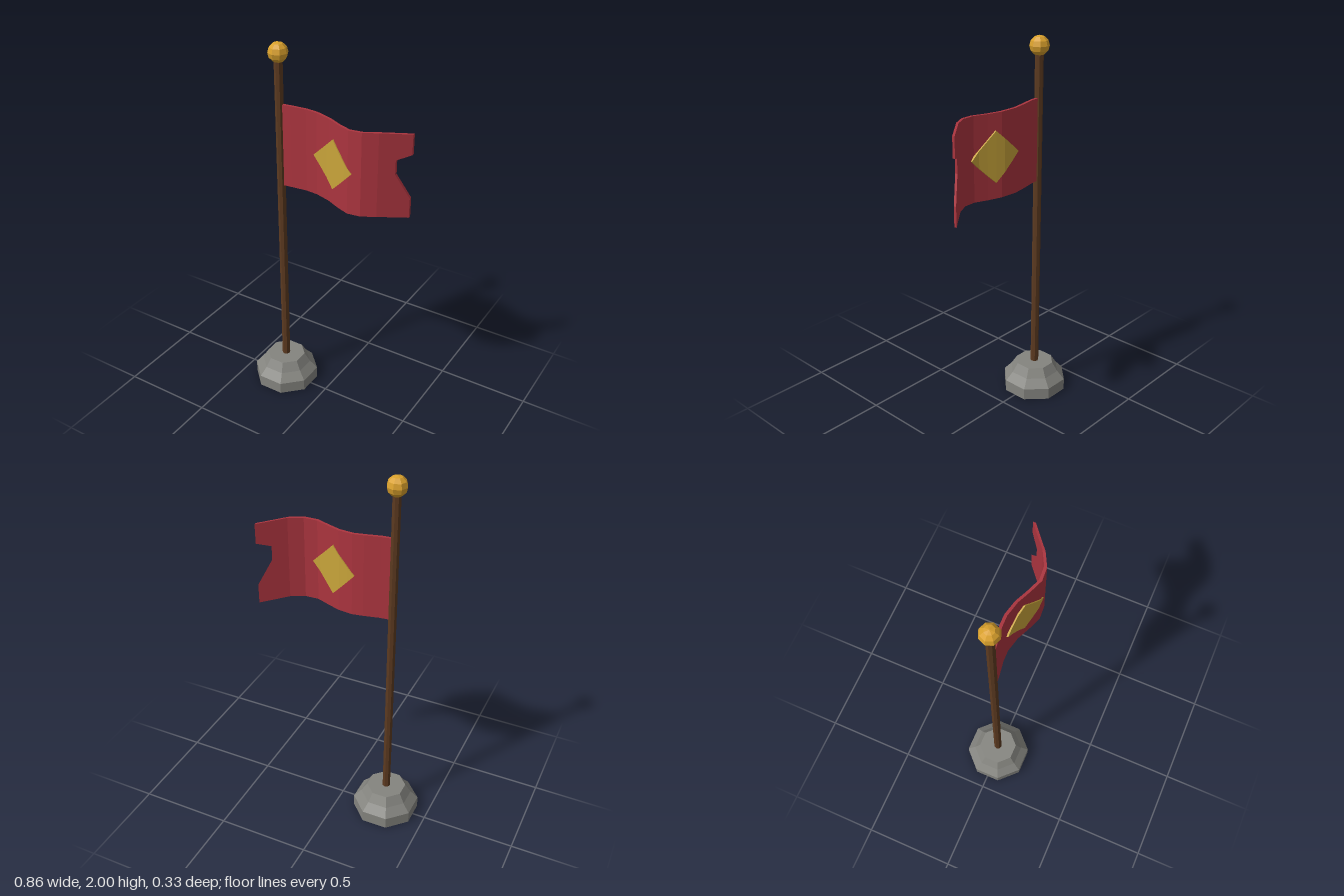
import * as THREE from 'three';

const POLE_X = -0.265;

// Wave of the cloth: [x, z, sag in y]
const WAVE = [
  [-0.265, 0, 0], [-0.2, -0.007, 0], [-0.12, -0.02, -0.003], [-0.06, -0.022, -0.008],
  [0.02, -0.005, -0.014], [0.09, 0.025, -0.018], [0.16, 0.052, -0.018], [0.23, 0.047, -0.016],
  [0.3, 0.01, -0.015], [0.425, -0.09, -0.03],
];

function wave(x) {
  let i = 1;
  while (i < WAVE.length - 1 && x > WAVE[i][0]) i++;
  const [a, b] = [WAVE[i - 1], WAVE[i]];
  const t = (x - a[0]) / (b[0] - a[0]);
  return { z: a[1] + (b[1] - a[1]) * t, sag: a[2] + (b[2] - a[2]) * t };
}

function material(color) {
  return new THREE.MeshStandardMaterial({ color, flatShading: true });
}

function addMesh(parent, name, geometry, mat, x = 0, y = 0, z = 0) {
  const mesh = new THREE.Mesh(geometry, mat);
  mesh.name = name;
  mesh.position.set(x, y, z);
  parent.add(mesh);
  return mesh;
}

// Thin slab whose grid points are placed by place(column, row) -> [x, y], then laid on the wave
function wavySlab(columns, rows, thickness, place) {
  const geometry = new THREE.BoxGeometry(1, 1, 1, columns, rows, 1);
  const p = geometry.attributes.position;
  for (let i = 0; i < p.count; i++) {
    const column = Math.round((p.getX(i) + 0.5) * columns);
    const row = Math.round((0.5 - p.getY(i)) * rows);
    const [x, y] = place(column, row);
    const w = wave(x);
    p.setXYZ(i, x, y + w.sag, w.z + Math.sign(p.getZ(i)) * thickness / 2);
  }
  geometry.computeVertexNormals();
  return geometry;
}

export function createModel() {
  const group = new THREE.Group();
  group.name = 'flagpole';
  const stone = material(0x84847f);
  const wood = material(0x5c3a20);
  const gold = material(0xd9a02c);
  const red = material(0xaa343e);
  const yellow = material(0xc8a43a);

  // Octagonal stepped base, flat sides facing the axes
  const flat = 1 / Math.cos(Math.PI / 8);
  const profile = [[0, 0], [0.165, 0], [0.165, 0.065], [0.127, 0.11], [0.098, 0.16], [0, 0.16]]
    .map(([r, y]) => new THREE.Vector2(r * flat, y));
  addMesh(group, 'base', new THREE.LatheGeometry(profile, 8, Math.PI / 8), stone, POLE_X);

  // Pole and ball on top
  addMesh(group, 'pole', new THREE.CylinderGeometry(0.022, 0.022, 1.78, 8), wood, POLE_X, 1.04);
  addMesh(group, 'finial', new THREE.SphereGeometry(0.051, 8, 6), gold, POLE_X, 1.949);

  // Cloth: the middle rows of the last column are pulled in to cut the notch
  const flag = new THREE.Group();
  flag.name = 'flag';
  group.add(flag);
  const drop = [0, 0.105, 0.135, 0.21, 0.335, 0.44];
  const last = WAVE.length - 1;
  addMesh(flag, 'cloth', wavySlab(last, drop.length - 1, 0.015, (c, r) => {
    const notch = c === last && (r === 2 || r === 3);
    return [notch ? 0.365 : WAVE[c][0], 1.689 - drop[r]];
  }), red);

  // Diamond emblem, showing on both sides of the cloth
  const cols = 6, halfWidth = 0.128, halfHeight = 0.133;
  addMesh(flag, 'diamondEmblem', wavySlab(cols, 2, 0.03, (c, r) => {
    const u = (c / cols) * 2 - 1;
    return [0.054 + u * halfWidth, 1.468 + (1 - r) * halfHeight * (1 - Math.abs(u))];
  }), yellow);

  return group;
}
